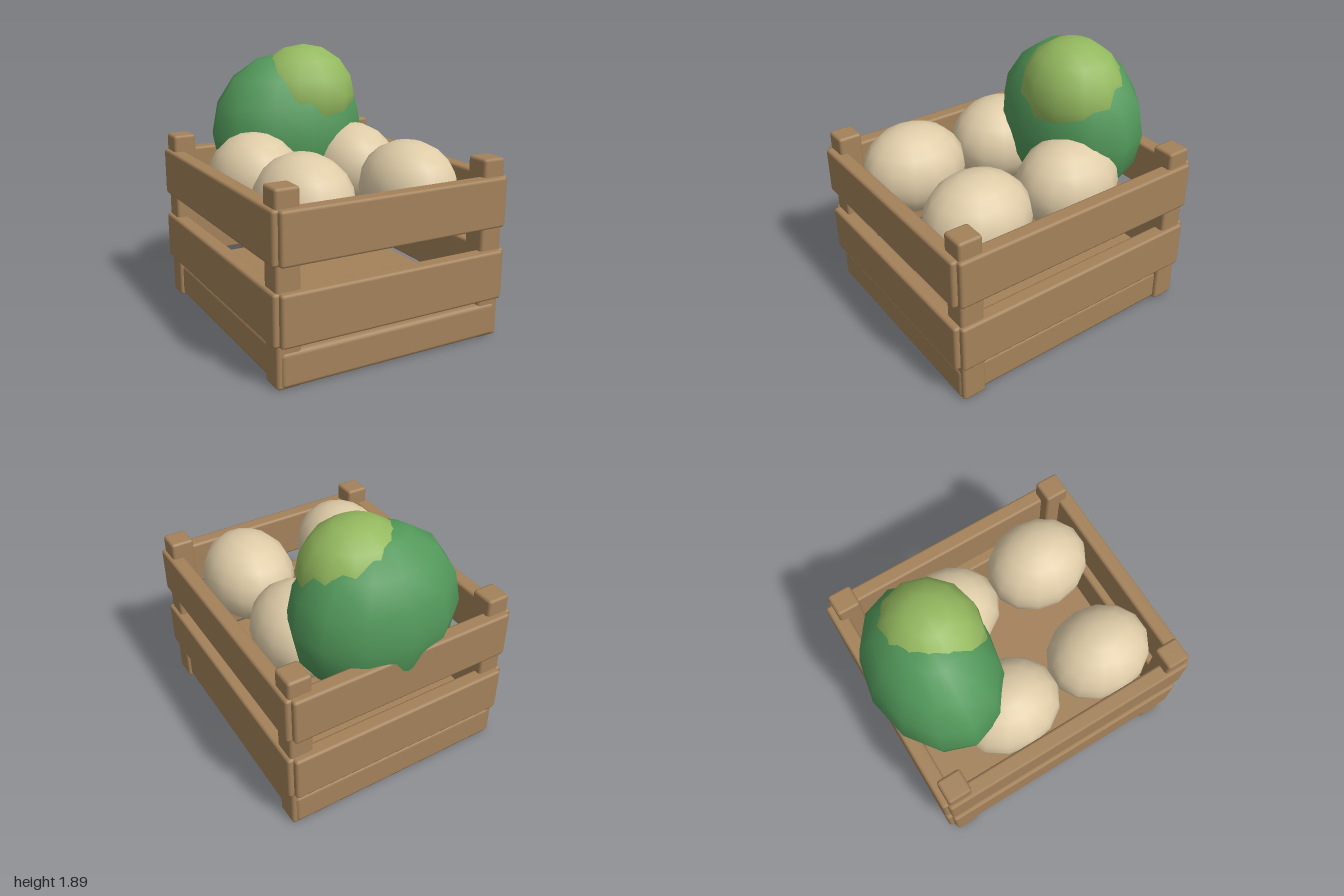
import * as THREE from 'three';
import { RoundedBoxGeometry } from 'three/addons/geometries/RoundedBoxGeometry.js';

export function createModel() {
  const crateOfProduce = new THREE.Group();
  crateOfProduce.name = 'produceCrate';

  const material = (name, color) => {
    const m = new THREE.MeshStandardMaterial({ color });
    m.name = name;
    return m;
  };
  const wood = material('wood', 0xa4825a);
  const cream = material('cream', 0xdfcca8);
  const green = material('leaf green', 0x52985a);
  const lime = material('light green', 0x94b95f);

  const add = (parent, name, geometry, mat, x, y, z) => {
    const mesh = new THREE.Mesh(geometry, mat);
    mesh.name = name;
    mesh.position.set(x, y, z);
    parent.add(mesh);
    return mesh;
  };
  const ball = (segments, rings, rx, ry, rz) =>
    new THREE.SphereGeometry(1, segments, rings).scale(rx, ry, rz);

  // Crate, centred slightly forward because the big ball overhangs the back
  const crate = new THREE.Group();
  crate.name = 'crate';
  crate.position.z = 0.018;
  crateOfProduce.add(crate);

  // Solid base
  add(crate, 'base', new RoundedBoxGeometry(1.61, 0.235, 1.88, 1, 0.03), wood, 0, 0.1225, 0);

  // Corner posts
  const post = new RoundedBoxGeometry(0.165, 1.24, 0.17, 1, 0.02);
  for (const x of [-1, 1])
    for (const z of [-1, 1])
      add(crate, 'cornerPost', post, wood, x * 0.745, 0.62, z * 0.845);

  // Two rows of slats on all four sides
  const endSlat = new RoundedBoxGeometry(1.63, 0.34, 0.11, 1, 0.02);
  const sideSlat = new RoundedBoxGeometry(0.11, 0.34, 1.88, 1, 0.02);
  for (const y of [0.45, 0.95])
    for (const s of [-1, 1]) {
      add(crate, s > 0 ? 'frontSlat' : 'backSlat', endSlat, wood, 0, y, s * 0.922);
      add(crate, s > 0 ? 'leftSlat' : 'rightSlat', sideSlat, wood, s * 0.797, y, 0);
    }

  // Four pale rounded fruits
  const fruit = ball(14, 10, 0.32, 0.32, 0.377);
  for (const x of [-0.42, 0.37])
    for (const z of [-0.23, 0.51])
      add(crateOfProduce, 'paleFruit', fruit, cream, x, 1, z);

  // Large green head with a lighter lobe pushing through it
  add(crateOfProduce, 'greenHead', ball(12, 8, 0.595, 0.59, 0.445), green, 0, 1.24, -0.555);
  add(crateOfProduce, 'lightLobe', ball(12, 8, 0.385, 0.37, 0.35), lime, 0.1, 1.52, -0.48);

  return crateOfProduce;
}
